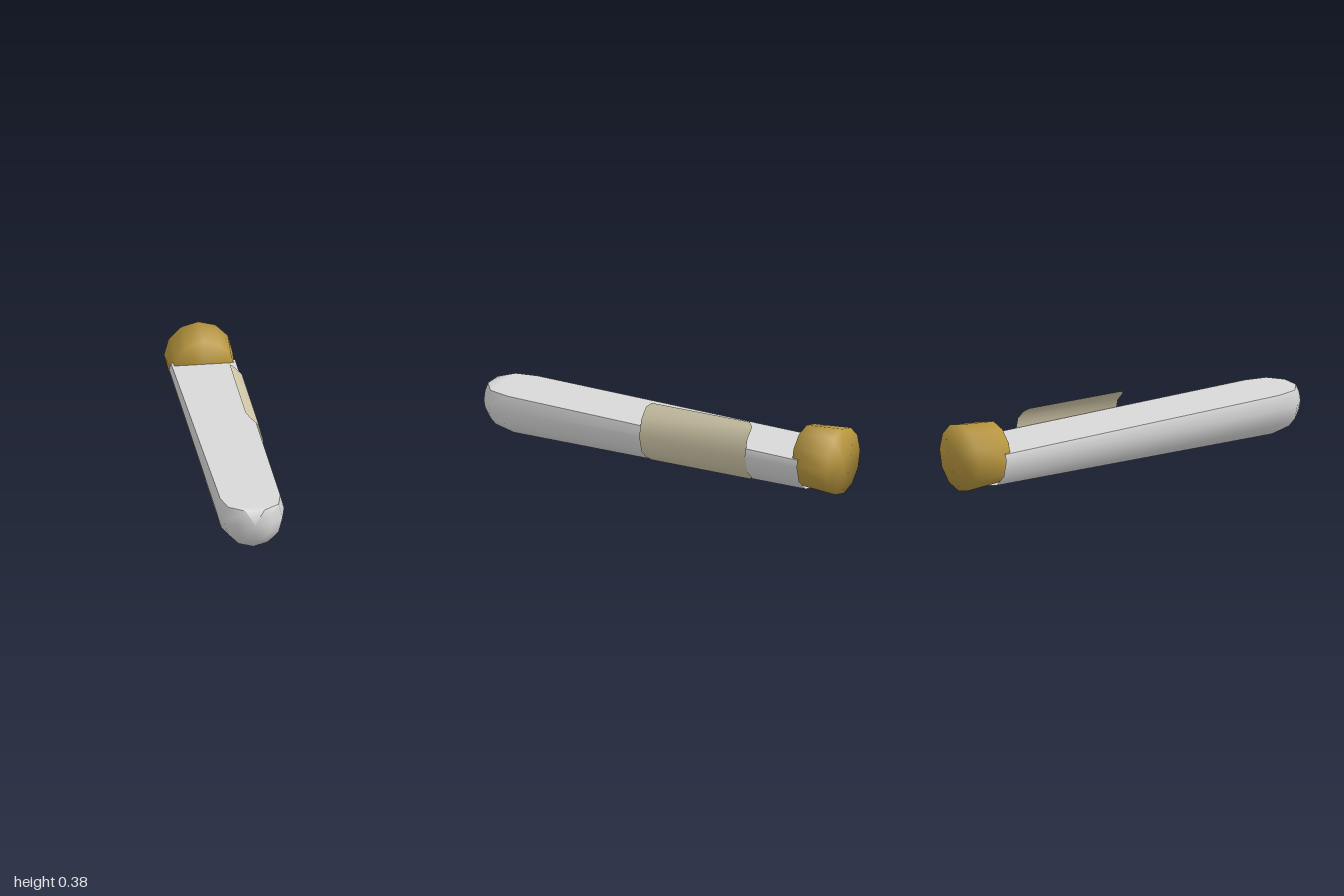
import * as THREE from 'three';
import { mergeVertices } from 'three/addons/utils/BufferGeometryUtils.js';

const SLOPE = 0.0224;            // the tube lies tilted, stopper end raised
const LEVEL = 0.243;             // liquid surface height
const CX = -0.004;
const axisY = (z) => 0.19 - SLOPE * z;

// Point on a twelve-sided ring, also between its corners
function ringPoint(r, deg, z) {
  const k = Math.floor(deg / 30), t = deg / 30 - k;
  const a = k * Math.PI / 6, b = a + Math.PI / 6;
  return new THREE.Vector3(
    CX + r * THREE.MathUtils.lerp(Math.cos(a), Math.cos(b), t),
    axisY(z) + r * THREE.MathUtils.lerp(Math.sin(a), Math.sin(b), t), z);
}

// Skin over rows of points, with smooth normals
function skin(rows) {
  const n = rows[0].length, index = [];
  for (let j = 0; j < rows.length - 1; j++) {
    for (let i = 0; i < n - 1; i++) {
      const a = j * n + i, c = a + n;
      index.push(a, a + 1, c, a + 1, c + 1, c);
    }
  }
  let g = new THREE.BufferGeometry().setFromPoints(rows.flat());
  g.setIndex(index);
  g = mergeVertices(g, 1e-5);
  g.computeVertexNormals();
  return g;
}

// Where a ring meets the liquid surface, on the +x side
function surfacePoint(r, z) {
  for (let k = 0; k < 3; k++) {
    const a = ringPoint(r, 30 * k, z), b = ringPoint(r, 30 * k + 30, z);
    if (a.y <= LEVEL && LEVEL < b.y) return a.lerp(b, (LEVEL - a.y) / (b.y - a.y));
  }
  return ringPoint(r, 90, z);
}
const mirror = (p) => new THREE.Vector3(2 * CX - p.x, p.y, p.z);

export function createModel() {
  const model = new THREE.Group();
  const mat = (name, color, side = THREE.FrontSide) => {
    const m = new THREE.MeshStandardMaterial({ color, side });
    m.name = name;
    return m;
  };
  const liquidMat = mat('pale liquid', 0xd8d8d8, THREE.DoubleSide);
  const corkMat = mat('cork', 0xb8963f);
  const labelMat = mat('label paper', 0xcfc6a8, THREE.DoubleSide);
  const add = (name, geometry, material) => {
    const mesh = new THREE.Mesh(geometry, material);
    mesh.name = name;
    model.add(mesh);
    return mesh;
  };

  // Liquid body: rounded end, then a long straight run, cut off at the level
  const rings = [[0, 1], [0.09, 0.988], [0.146, 0.93], [0.169, 0.82], [0.169, -0.83]];
  const body = rings.map(([r, z]) => {
    const cut = surfacePoint(r, z), row = [];
    for (let deg = 90; deg >= -90; deg -= 30) {
      const p = ringPoint(r, deg, z);
      row.push(p.y > LEVEL ? cut.clone() : p);
    }
    return row.concat(row.slice(0, -1).reverse().map(mirror));
  });
  add('liquidBody', skin(body), liquidMat);

  // Flat liquid surface
  const surface = rings.map(([r, z]) => {
    const p = surfacePoint(r, z);
    return [mirror(p), p];
  });
  add('liquidSurface', skin(surface), liquidMat);

  // Tapered stopper with soft shading across its ends
  let cork = new THREE.CylinderGeometry(0.171, 0.156, 0.203, 12);
  cork.deleteAttribute('normal');
  cork.deleteAttribute('uv');
  cork = mergeVertices(cork, 1e-5);
  cork.computeVertexNormals();
  cork.rotateX(-Math.PI / 2 + SLOPE);
  add('stopper', cork, corkMat).position.set(CX, axisY(-0.895) + 0.002, -0.895);

  // Label wrapped round one side, with clipped corners
  const angles = [60, 52, 30, 0, -30, -52, -60];
  const edge = (z, dir) => angles.map((deg) =>
    ringPoint(0.176, deg, z + (Math.abs(deg) === 60 ? dir * 0.022 : 0)));
  add('label', skin([edge(0.06, -1), edge(-0.54, 1)]), labelMat).position.y = 0.004;

  return model;
}
